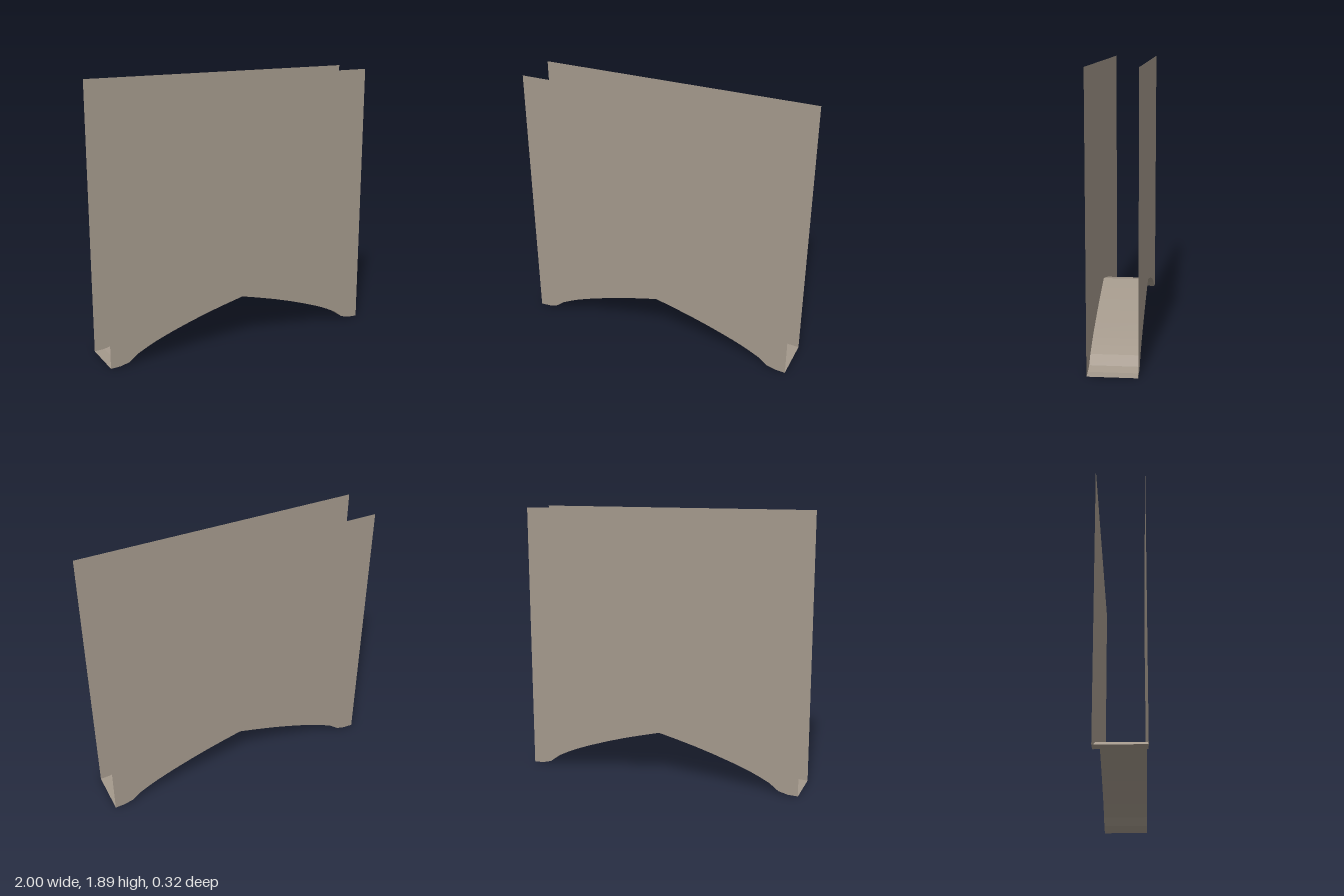
import * as THREE from 'three';

const HEIGHT = 1.89, HALF_DEPTH = 0.16;

// Right half of the arch underside, from the peak to the outer foot
const half = [
  [0, 0.335], [0.13, 0.303], [0.27, 0.266], [0.4, 0.227], [0.53, 0.184], [0.6, 0.159],
  [0.67, 0.132], [0.73, 0.105], [0.8, 0.07], [0.865, 0.02], [0.93, 0.003], [1, 0],
];
const arch = [...half.slice(1).reverse().map(([x, y]) => [-x, y]), ...half];

export function createModel() {
  const group = new THREE.Group();
  const stone = new THREE.MeshStandardMaterial({ color: 0xa3988b, side: THREE.DoubleSide, flatShading: true });
  stone.name = 'warm grey stone';

  const add = (name, geometry) => {
    const mesh = new THREE.Mesh(geometry, stone);
    mesh.name = name;
    group.add(mesh);
    return mesh;
  };

  // Front and back wall faces, cut by the arch below
  const outline = new THREE.Shape([
    ...arch.map(([x, y]) => new THREE.Vector2(x, y)),
    new THREE.Vector2(1, HEIGHT),
    new THREE.Vector2(-1, HEIGHT),
  ]);
  const face = new THREE.ShapeGeometry(outline);
  add('frontWall', face).position.z = HALF_DEPTH;
  const back = add('backWall', face);
  back.position.z = -HALF_DEPTH;
  back.rotation.y = Math.PI;

  // Faceted underside joining the walls; ends and top stay open
  const soffit = new THREE.PlaneGeometry(2, 2 * HALF_DEPTH, arch.length - 1, 1).rotateX(Math.PI / 2);
  const pos = soffit.attributes.position;
  for (let i = 0; i < pos.count; i++) {
    const [x, y] = arch[i % arch.length];
    pos.setXYZ(i, x, y, pos.getZ(i));
  }
  const faceted = soffit.toNonIndexed();
  faceted.computeVertexNormals();
  add('archUnderside', faceted);

  return group;
}
